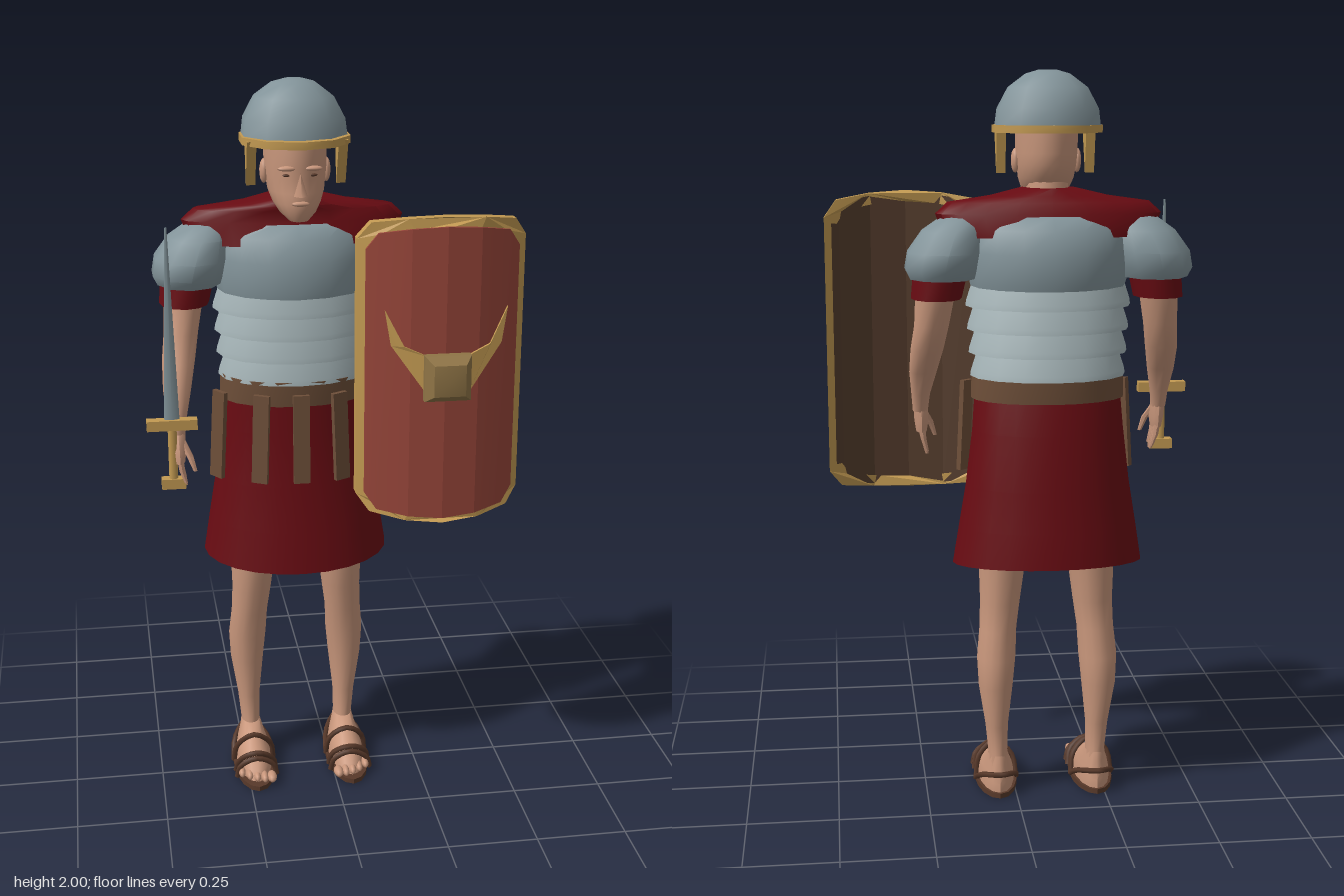
import * as THREE from 'three';
import { toCreasedNormals } from 'three/addons/utils/BufferGeometryUtils.js';

const mat = (name, color, side = THREE.FrontSide) => {
  const m = new THREE.MeshStandardMaterial({ color, side });
  m.name = name;
  return m;
};

// Skin of horizontal rings, bottom to top: [y, centreX, radiusX, zFront, zBack, tilt]
function loft(rings, n = 16, capped = true) {
  const pos = [], idx = [];
  for (const [y, cx, rx, zf, zb, tilt = 0] of rings) {
    const cz = (zf + zb) / 2, rz = (zf - zb) / 2;
    for (let i = 0; i < n; i++) {
      const a = (i / n) * Math.PI * 2, dz = rz * Math.cos(a);
      pos.push(cx + rx * Math.sin(a), y + tilt * dz, cz + dz);
    }
  }
  for (let r = 0; r < rings.length - 1; r++) for (let i = 0; i < n; i++) {
    const j = (i + 1) % n, a = r * n + i, b = r * n + j;
    idx.push(a, b, b + n, a, b + n, a + n);
  }
  if (capped) for (const r of [0, rings.length - 1]) {
    const [y, cx, , zf, zb] = rings[r], c = pos.length / 3;
    pos.push(cx, y, (zf + zb) / 2);
    for (let i = 0; i < n; i++) {
      const a = r * n + i, b = r * n + ((i + 1) % n);
      r ? idx.push(c, a, b) : idx.push(c, b, a);
    }
  }
  const g = new THREE.BufferGeometry();
  g.setAttribute('position', new THREE.Float32BufferAttribute(pos, 3));
  g.setIndex(idx);
  return toCreasedNormals(g, 0.9);
}

export function createModel() {
  const model = new THREE.Group();
  const body = new THREE.Group();
  body.name = 'soldier';
  body.position.x = -0.09;
  model.add(body);

  const skin = mat('skin', 0xc9977c), steel = mat('steel', 0x83949a), silver = mat('bright steel', 0xa5b4b7);
  const cloth = mat('red cloth', 0x680b12, THREE.DoubleSide), gold = mat('gold', 0xc39a52);
  const leather = mat('leather', 0x6e4f39), sandal = mat('sandal leather', 0x58392a);
  const shieldRed = mat('shield red', 0x98463a), wood = mat('shield back', 0x553d2d), bronze = mat('bronze', 0x8f7446);

  const add = (parent, name, geo, material, x = 0, y = 0, z = 0) => {
    const m = new THREE.Mesh(geo, material);
    m.name = name;
    m.position.set(x, y, z);
    parent.add(m);
    return m;
  };
  const ball = (name, material, x, y, z, sx, sy, sz) =>
    add(body, name, new THREE.SphereGeometry(1, 10, 7), material, x, y, z).scale.set(sx, sy, sz);

  // Head and face
  add(body, 'neck', loft([[1.58, 0, 0.065, 0, -0.13], [1.72, 0, 0.055, 0, -0.12]]), skin);
  add(body, 'head', loft([
    [1.645, 0, 0.025, 0.065, 0.01], [1.665, 0, 0.048, 0.077, -0.05], [1.69, 0, 0.064, 0.08, -0.1],
    [1.72, 0, 0.075, 0.08, -0.13], [1.755, 0, 0.08, 0.074, -0.145], [1.785, 0, 0.083, 0.08, -0.15],
    [1.87, 0, 0.085, 0.07, -0.15]], 20), skin);
  const nose = add(body, 'nose', new THREE.ConeGeometry(0.018, 0.06, 4), skin, 0, 1.745, 0.08);
  nose.scale.z = 1.2;
  ball('lips', skin, 0, 1.695, 0.078, 0.024, 0.007, 0.009);
  for (const s of [-1, 1]) {
    ball('ear', skin, s * 0.083, 1.765, -0.035, 0.012, 0.033, 0.02);
    ball('brow', skin, s * 0.034, 1.786, 0.07, 0.025, 0.007, 0.012);
    ball('eye', sandal, s * 0.034, 1.768, 0.0645, 0.012, 0.004, 0.006);
  }

  // Helmet with brim and cheek guards
  add(body, 'helmet', loft([[1.845, 0, 0.145, 0.085, -0.195], [1.9, 0, 0.138, 0.075, -0.19],
    [1.955, 0, 0.108, 0.045, -0.16], [1.99, 0, 0.06, 0, -0.115], [2, 0, 0.025, -0.03, -0.08]], 10), steel);
  add(body, 'helmetBrim', loft([[1.838, 0, 0.15, 0.108, -0.198], [1.858, 0, 0.15, 0.108, -0.198]], 10), gold);
  const cheek = new THREE.Shape([[0.03, 1.85], [-0.04, 1.85], [-0.018, 1.73]].map(p => new THREE.Vector2(...p)));
  for (const s of [-1, 1]) {
    const c = add(body, 'cheekGuard', new THREE.ExtrudeGeometry(cheek, { depth: 0.025, bevelEnabled: false }), gold, s * 0.12 + 0.0125);
    c.rotation.y = -Math.PI / 2;
  }

  // Scarf, breastplate and overlapping bands
  add(body, 'scarf', loft([[1.57, 0, 0.28, 0.02, -0.2], [1.63, 0, 0.302, 0, -0.19], [1.66, 0, 0.27, -0.005, -0.175],
    [1.675, 0, 0.16, 0.005, -0.16], [1.695, 0, 0.075, 0.002, -0.145]], 20), cloth);
  add(body, 'breastplate', loft([[1.41, 0, 0.2, 0.06, -0.235], [1.45, 0, 0.212, 0.068, -0.245], [1.53, 0, 0.215, 0.062, -0.25],
    [1.59, 0, 0.205, 0.04, -0.225], [1.625, 0, 0.18, 0.01, -0.195]]), steel);
  for (let i = 0; i < 4; i++) {
    const y = 1.385 - i * 0.063, k = i * 0.004;
    add(body, 'armourBand', loft([[y, 0, 0.223 - k, 0.076 - k, -0.255 + k], [y + 0.015, 0, 0.221 - k, 0.074 - k, -0.252 + k],
      [y + 0.08, 0, 0.2 - k, 0.058 - k, -0.232 + k]]), silver);
  }

  // Tunic skirt, belt and hanging straps
  add(body, 'skirt', loft([[0.675, 0, 0.262, 0.093, -0.276, 0.11 * -1], [0.78, 0, 0.245, 0.075, -0.265, -0.06], [0.9, 0, 0.225, 0.058, -0.25],
    [1.05, 0, 0.207, 0.045, -0.236], [1.2, 0, 0.195, 0.045, -0.205]], 24, false), cloth);
  add(body, 'belt', loft([[1.135, 0, 0.209, 0.056, -0.225], [1.205, 0, 0.207, 0.062, -0.228]], 20), leather);
  for (const x of [-0.22, -0.11, 0, 0.11, 0.22]) {
    const strap = add(body, 'beltStrap', new THREE.BoxGeometry(0.045, 0.25, 0.014), leather, x, 1.045, -0.085 + 0.152 * Math.sqrt(1 - (x / 0.25) ** 2));
    strap.rotation.set(-0.03, x * 4, x * 0.35);
  }

  for (const s of [-1, 1]) {
    // Shoulder, sleeve and arm
    add(body, 'shoulderPlate', loft([[1.46, s * 0.285, 0.09, 0.02, -0.205], [1.485, s * 0.285, 0.103, 0.037, -0.22], [1.53, s * 0.275, 0.105, 0.04, -0.225],
      [1.585, s * 0.255, 0.085, 0.015, -0.195], [1.62, s * 0.235, 0.055, -0.03, -0.155], [1.63, s * 0.225, 0.025, -0.06, -0.125]], 10), steel);
    add(body, 'sleeve', loft([[1.405, s * 0.3, 0.068, 0.004, -0.17], [1.5, s * 0.285, 0.075, 0, -0.175]], 12), cloth);
    add(body, 'arm', loft([[1.07, s * 0.338, 0.021, 0.1, 0.045], [1.12, s * 0.337, 0.026, 0.098, 0.025], [1.19, s * 0.332, 0.038, 0.07, -0.03],
      [1.26, s * 0.323, 0.045, 0.035, -0.09], [1.33, s * 0.312, 0.047, 0, -0.125], [1.44, s * 0.3, 0.055, -0.01, -0.15]], 12), skin);
    add(body, 'palm', loft([[1.01, s * 0.335, 0.015, 0.125, 0.05], [1.04, s * 0.335, 0.02, 0.125, 0.042], [1.085, s * 0.337, 0.02, 0.1, 0.045]], 10), skin);
    for (let f = 0; f < 4; f++) {
      const z = 0.06 + f * 0.018, low = 0.955 - Math.sin(f * 1.05) * 0.012;
      add(body, 'finger', loft([[low, s * 0.32, 0.005, z + 0.009, z], [0.99, s * 0.33, 0.009, z + 0.009, z - 0.009], [1.03, s * 0.335, 0.01, z + 0.009, z - 0.009]], 6), skin);
    }
    add(body, 'thumb', loft([[0.99, s * 0.295, 0.006, 0.125, 0.113], [1.03, s * 0.308, 0.01, 0.122, 0.1], [1.07, s * 0.33, 0.012, 0.1, 0.07]], 6), skin);

    // Leg and foot
    add(body, 'leg', loft([[0.05, s * 0.138, 0.03, -0.04, -0.15], [0.12, s * 0.139, 0.027, -0.055, -0.138], [0.2, s * 0.142, 0.032, -0.055, -0.142],
      [0.32, s * 0.145, 0.048, -0.043, -0.165], [0.4, s * 0.143, 0.054, -0.035, -0.163], [0.48, s * 0.137, 0.052, -0.02, -0.15],
      [0.56, s * 0.13, 0.056, -0.003, -0.15], [0.67, s * 0.124, 0.065, 0.017, -0.166], [0.85, s * 0.11, 0.08, 0.025, -0.18]]), skin);
    add(body, 'foot', loft([[0.014, s * 0.138, 0.05, 0.115, -0.157], [0.04, s * 0.138, 0.049, 0.1, -0.157],
      [0.065, s * 0.138, 0.043, 0.055, -0.15], [0.09, s * 0.138, 0.034, 0, -0.145], [0.115, s * 0.139, 0.027, -0.05, -0.139]]), skin);
    for (let t = 0; t < 5; t++)
      ball('toe', skin, s * (0.098 + t * 0.021), 0.025, 0.108 - t * t * 0.0025, t ? 0.0105 : 0.014, 0.013, 0.027);
    // Sandal sole with looped straps
    add(body, 'sandalSole', loft([[0, s * 0.138, 0.06, 0.143, -0.165], [0.014, s * 0.138, 0.06, 0.143, -0.165]]), sandal);
    for (const [z0, z1, top] of [[0.065, 0.075, 0.068], [0.03, 0.065, 0.08], [-0.03, 0.0, 0.105], [-0.03, -0.165, 0.07]]) {
      const at = (x, y, z) => new THREE.Vector3(s * (0.138 + x), y, z);
      const path = new THREE.CatmullRomCurve3([at(-0.058, 0.008, z0), at(-0.048, top * 0.65, (z0 + z1) / 2), at(0, top, z1),
        at(0.048, top * 0.65, (z0 + z1) / 2), at(0.058, 0.008, z0)]);
      add(body, 'sandalStrap', new THREE.TubeGeometry(path, 12, 0.008, 5), sandal);
    }
  }

  // Sword
  const sword = new THREE.Group();
  sword.name = 'sword';
  sword.position.set(-0.443, 0, 0.105);
  model.add(sword);
  add(sword, 'blade', new THREE.CylinderGeometry(0.003, 0.021, 0.53, 4), steel, 0, 1.385, 0).scale.z = 0.35;
  add(sword, 'guard', new THREE.BoxGeometry(0.135, 0.028, 0.03), gold, 0, 1.12, 0);
  add(sword, 'grip', new THREE.CylinderGeometry(0.012, 0.012, 0.16, 8), gold, 0, 1.035, 0);
  add(sword, 'pommel', new THREE.BoxGeometry(0.065, 0.028, 0.03), gold, 0, 0.954, 0);

  // Curved shield with chamfered corners
  const shield = new THREE.Group();
  shield.name = 'shield';
  shield.position.set(0.278, 1.253, 0);
  model.add(shield);
  const cols = [-1, -0.85, -0.45, 0, 0.45, 0.85, 1], heights = [0.84, 0.95, 0.985, 1, 0.985, 0.95, 0.84];
  const bend = (g, drop, hw, remap) => {
    const p = g.attributes.position;
    for (let i = 0; i < p.count; i++) {
      if (remap) {
        const c = Math.round((p.getX(i) / hw + 1) * 3);
        p.setXY(i, cols[c] * hw, p.getY(i) * heights[c]);
      }
      p.setZ(i, p.getZ(i) - drop * (p.getX(i) / hw) ** 2);
    }
    return toCreasedNormals(g, 0.15);
  };
  const plate = (hw, hh, drop) => bend(new THREE.BoxGeometry(hw * 2, hh * 2, 0.008, 6, 1, 1), drop, hw, true);
  const outline = (hw, hh) => [1, -1].flatMap(s => cols.map((c, i) => new THREE.Vector2(s * c * hw, s * heights[i] * hh)));
  const rim = new THREE.Shape(outline(0.226, 0.422));
  rim.holes.push(new THREE.Path(outline(0.196, 0.392)));
  add(shield, 'shieldRim', bend(new THREE.ExtrudeGeometry(rim, { depth: 0.03, bevelEnabled: false }), 0.085, 0.226), gold, 0, 0, 0.168);
  add(shield, 'shieldBack', plate(0.218, 0.415, 0.079), wood, 0, 0, 0.172);
  add(shield, 'shieldFace', plate(0.204, 0.4, 0.06), shieldRed, -0.006, 0, 0.216);
  for (const s of [-1, 1]) {
    const wing = new THREE.Shape([[0.164, 0.18], [0.115, 0.085], [0.055, 0.06], [0.055, -0.045], [0.148, 0.085]].map(([x, y]) => new THREE.Vector2(s * x, y)));
    add(shield, 'shieldWing', bend(new THREE.ExtrudeGeometry(wing, { depth: 0.008, bevelEnabled: false }), 0.06, 0.204), gold, 0, 0, 0.223);
  }
  const bossProfile = [[0.088, 0], [0.088, 0.022], [0.06, 0.05], [0, 0.06]].map(p => new THREE.Vector2(...p));
  const boss = add(shield, 'shieldBoss', toCreasedNormals(new THREE.LatheGeometry(bossProfile, 4, Math.PI / 4), 0.5), bronze, -0.003, 0.003, 0.219);
  boss.rotation.x = Math.PI / 2;

  return model;
}
